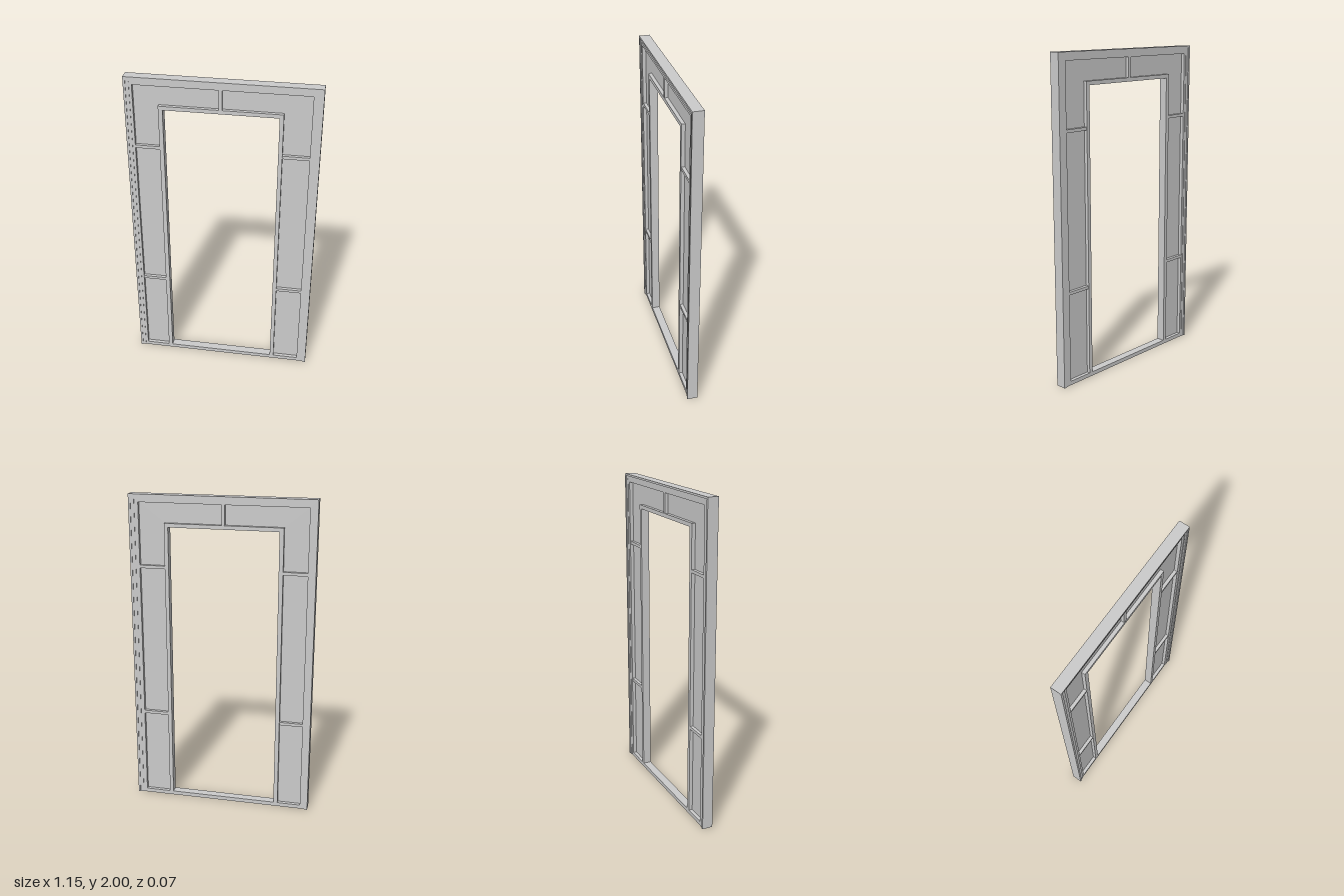
import * as THREE from 'three';

const material = new THREE.MeshStandardMaterial({ color: 0xcccccc, flatShading: true });

// Door opening limits
const OPEN = { x0: -0.35, x1: 0.33, y0: 0.025, y1: 1.805 };

export function createModel() {
  const group = new THREE.Group();

  // Box given by its limits, centred in depth
  const bar = (name, x0, x1, y0, y1, halfDepth) => {
    const mesh = new THREE.Mesh(new THREE.BoxGeometry(x1 - x0, y1 - y0, halfDepth * 2), material);
    mesh.name = name;
    mesh.position.set((x0 + x1) / 2, (y0 + y1) / 2, 0);
    group.add(mesh);
  };

  // Upside-down U: two legs and a head, open at the bottom
  const arch = (name, outer, inner, halfDepth) => {
    const s = new THREE.Shape();
    const [ox0, ox1, oy] = outer, [ix0, ix1, iy] = inner;
    [[ox0, 0], [ix0, 0], [ix0, iy], [ix1, iy], [ix1, 0], [ox1, 0], [ox1, oy], [ox0, oy]]
      .forEach(([x, y], i) => (i ? s.lineTo(x, y) : s.moveTo(x, y)));
    s.closePath();
    const g = new THREE.ExtrudeGeometry(s, { depth: halfDepth * 2, bevelEnabled: false });
    g.translate(0, 0, -halfDepth);
    const mesh = new THREE.Mesh(g, material);
    mesh.name = name;
    group.add(mesh);
  };

  // Outer frame, stepping down toward the panels
  const rings = [[-0.573, 0.573, 2], [-0.56, 0.56, 1.988], [-0.54, 0.538, 1.97], [-0.524, 0.514, 1.951]];
  arch('outerRim', rings[0], rings[1], 0.033);
  arch('rimStep', rings[1], rings[2], 0.029);
  arch('innerStile', rings[2], rings[3], 0.026);

  // Thin recessed panel and the casing around the opening
  const casing = [-0.376, 0.354, 1.829];
  arch('recessedPanel', rings[3], casing, 0.004);
  arch('doorCasing', casing, [OPEN.x0, OPEN.x1, OPEN.y1], 0.026);

  // Sill across the opening and below the side panels
  bar('sill', OPEN.x0, OPEN.x1, 0, OPEN.y0, 0.026);
  bar('rightFootRail', rings[3][0], casing[0], 0, OPEN.y0, 0.026);
  bar('leftFootRail', casing[1], rings[3][1], 0, OPEN.y0, 0.026);

  // Cross rails between the side panels
  for (const y of [0.578, 1.547]) {
    bar('rightCrossRail', rings[3][0], casing[0], y, y + 0.019, 0.024);
    bar('leftCrossRail', casing[1], rings[3][1], y, y + 0.019, 0.024);
  }

  // Short divider above the opening
  bar('headDivider', -0.02, 0, casing[2], rings[3][2], 0.024);

  return group;
}
